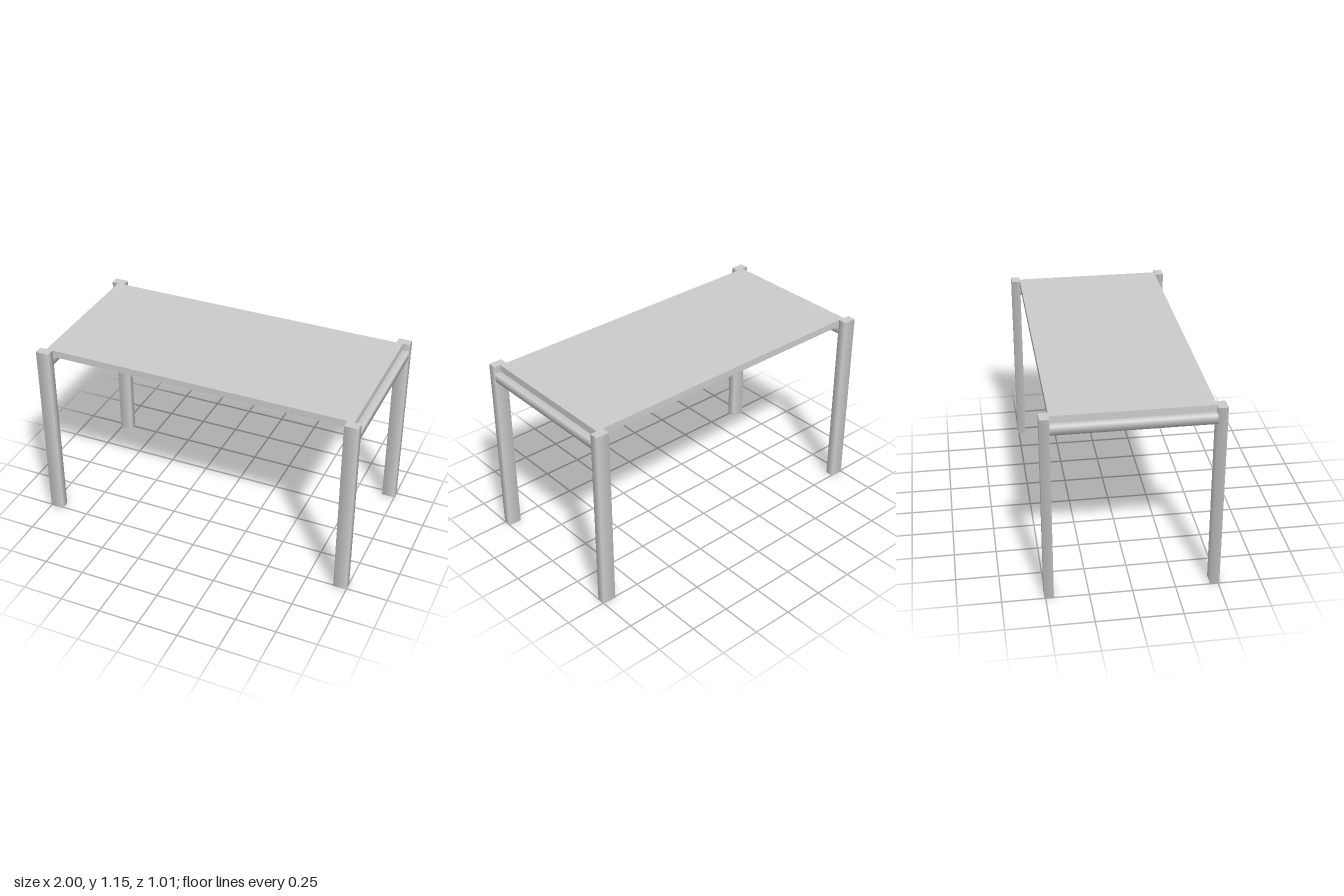
import * as THREE from 'three';

const material = new THREE.MeshStandardMaterial({ color: 0xcccccc, side: THREE.DoubleSide });

// Four-sided bar along y with softly shaded sides; keeps only the top cap or no caps.
function bar(width, length, depth, topCap) {
  const geo = new THREE.CylinderGeometry(Math.SQRT1_2, Math.SQRT1_2, 1, 4, 1, false, Math.PI / 4);
  const [sides, top] = geo.groups;
  const count = sides.count + (topCap ? top.count : 0);
  geo.setIndex(Array.from(geo.index.array).slice(0, count));
  geo.clearGroups();
  return geo.scale(width, length, depth);
}

export function createModel() {
  const table = new THREE.Group();
  table.name = 'table';
  const add = (name, geo, x, y, z) => {
    const mesh = new THREE.Mesh(geo, material);
    mesh.name = name;
    mesh.position.set(x, y, z);
    table.add(mesh);
  };

  const height = 1.15, thickness = 0.043;
  const legW = 0.082, legD = 0.054, innerZ = 0.453;

  // Flat top between the front and back legs
  add('tabletop', new THREE.BoxGeometry(1.92, thickness, innerZ * 2), 0, height - thickness / 2, 0);

  // Hollow legs, open at the floor, and one rail under each end
  const legGeo = bar(legW, height, legD, true);
  const railH = 0.052;
  const railGeo = bar(legW, innerZ * 2, railH, false).rotateX(Math.PI / 2);
  for (const [sx, side] of [[1, 'left'], [-1, 'right']]) {
    const x = sx * (1 - legW / 2);
    add(side + 'Rail', railGeo, x, height - thickness - railH / 2, 0);
    for (const [sz, end] of [[1, 'Front'], [-1, 'Back']]) {
      add(side + end + 'Leg', legGeo, x, height / 2, sz * (innerZ + legD / 2));
    }
  }
  return table;
}
